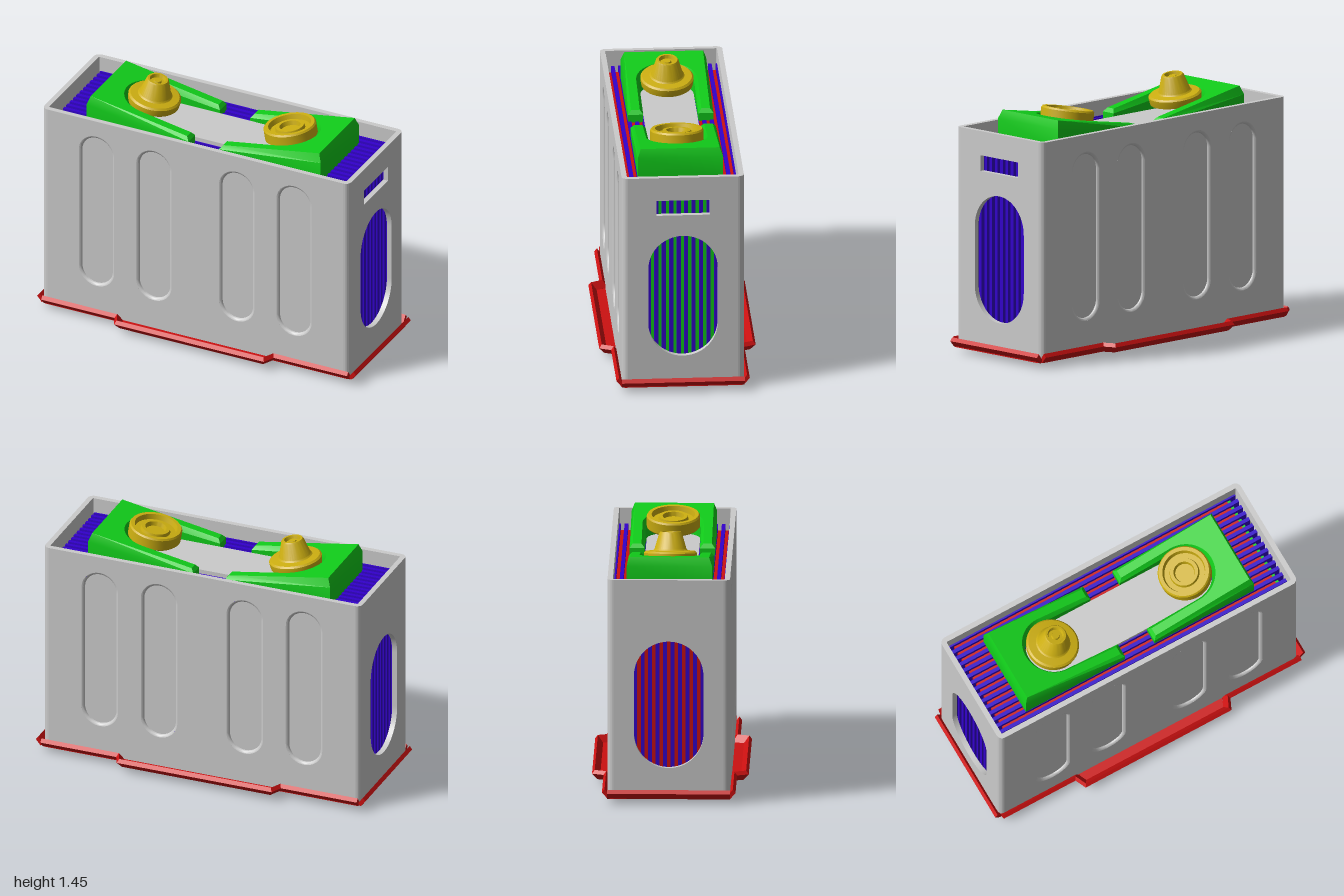
import * as THREE from 'three';
import { toCreasedNormals } from 'three/addons/utils/BufferGeometryUtils.js';

const mat = (color) => new THREE.MeshStandardMaterial({ color, side: THREE.DoubleSide });
const GREY = mat(0xcccccc), RED = mat(0xcc1111), GREEN = mat(0x11cc1a);
const BLUE = mat(0x3300cc), GOLD = mat(0xccae11);

// case half sizes, corner radius, wall thickness, bottom and top
const X = 0.963, Z = 0.344, R = 0.035, WALL = 0.03, Y0 = 0.045, Y1 = 1.288;

function add(parent, name, geo, material, x = 0, y = 0, z = 0) {
  const mesh = new THREE.Mesh(geo, material);
  mesh.name = name;
  mesh.position.set(x, y, z);
  parent.add(mesh);
  return mesh;
}

function extrude(shape, depth, options = {}) {
  const geo = new THREE.ExtrudeGeometry(shape, { depth, bevelEnabled: false, curveSegments: 20, ...options });
  return toCreasedNormals(geo, 0.5);
}

// upright capsule outline
function capsule(r, half, cx = 0, cy = 0, Type = THREE.Shape) {
  const p = new Type();
  p.moveTo(cx + r, cy - half);
  p.lineTo(cx + r, cy + half);
  p.absarc(cx, cy + half, r, 0, Math.PI);
  p.lineTo(cx - r, cy - half);
  p.absarc(cx, cy - half, r, Math.PI, 2 * Math.PI);
  return p;
}

function rect(x0, y0, x1, y1, Type = THREE.Shape) {
  return new Type([[x0, y0], [x1, y0], [x1, y1], [x0, y1]].map((p) => new THREE.Vector2(...p)));
}

// carries a profile of [inset, y] along plan points [x, z, outward nx, nz]
function sweep(path, profile, capped) {
  const pos = [], idx = [], n = profile.length;
  for (const [x, z, nx, nz] of path)
    for (const [inset, y] of profile) pos.push(x - inset * nx, y, z - inset * nz);
  for (let i = 0; i < path.length - 1; i++)
    for (let j = 0; j < (capped ? n : n - 1); j++) {
      const a = i * n + j, b = i * n + (j + 1) % n;
      idx.push(a, b, a + n, b, b + n, a + n);
    }
  if (capped)
    for (let j = 1; j < n - 1; j++) {
      const e = (path.length - 1) * n;
      idx.push(0, j + 1, j, e, e + j, e + j + 1);
    }
  const geo = new THREE.BufferGeometry();
  geo.setAttribute('position', new THREE.Float32BufferAttribute(pos, 3));
  geo.setIndex(idx);
  return toCreasedNormals(geo, 0.5);
}

// tray with flared lips, side tabs and two runners
function buildBase() {
  const base = new THREE.Group();
  base.name = 'base';
  const half = [[0.975, -0.33], [0.975, 0.33], [0.95, 0.348], [0.46, 0.348], [0.44, 0.41]];
  const outline = [...half, ...half.slice(1).reverse().map(([x, z]) => [-x, z])];
  outline.push(...half.slice(2).map(([x, z]) => [-x, -z]), ...half.slice(2).reverse().map(([x, z]) => [x, -z]));
  const floor = extrude(new THREE.Shape(outline.map((p) => new THREE.Vector2(...p))), 0.015);
  add(base, 'trayFloor', floor.rotateX(-Math.PI / 2), RED, 0, 0.03, 0);

  const lip = [[0.03, 0.03], [0, 0.065], [0.015, 0.085], [0.045, 0.045]];
  const a = 0.64;
  const side = [[-0.96, 0.375, 0, 1], [-0.5, 0.375, -a, 1], [-0.47, 0.44, -a, 1],
    [0.47, 0.44, a, 1], [0.5, 0.375, a, 1], [0.96, 0.375, 0, 1]];
  const end = [[1, 0.345, 1, 0], [1, -0.345, 1, 0]];
  for (const turn of [0, Math.PI]) {
    add(base, 'sideLip', sweep(side, lip, true), RED).rotation.y = turn;
    add(base, 'endLip', sweep(end, lip, true), RED).rotation.y = turn;
  }
  for (const s of [-1, 1]) {
    const runner = extrude(capsule(0.083, 0.63), 0.02,
      { bevelEnabled: true, bevelSize: 0.02, bevelOffset: -0.02, bevelThickness: 0.018, bevelSegments: 4 });
    runner.rotateZ(Math.PI / 2).rotateX(-Math.PI / 2);
    add(base, 'runner', runner, RED, 0, 0.018, s * 0.17);
  }
  return base;
}

// open-topped case: pressed side walls, windowed ends, round corners
function buildCase() {
  const box = new THREE.Group();
  box.name = 'case';
  const r = 0.105, half = 0.3725, cy = 0.7075, depth = 0.016;
  const path = capsule(r, half).getPoints(16).map((p) => {
    const c = Math.max(-half, Math.min(half, p.y));
    return [p.x, p.y, p.x / r, (p.y - c) / r];
  });
  path.push(path[0]);
  const dish = [[-0.006, 0], [0, -0.002], [0.005, -0.006], [0.008, -0.011], [0.009, -depth]];

  for (const turn of [0, Math.PI]) {
    const side = new THREE.Group();
    side.name = 'sideWall';
    side.rotation.y = turn;
    const panel = rect(-X + R, Y0, X - R, Y1);
    for (const x of [-0.62, -0.26, 0.26, 0.62]) {
      panel.holes.push(capsule(r + 0.006, half, x, cy, THREE.Path));
      add(side, 'recessEdge', sweep(path, dish, false).rotateX(Math.PI / 2), GREY, x, cy, Z);
      add(side, 'recessFloor', extrude(capsule(r, half), WALL - depth), GREY, x, cy, Z - WALL);
    }
    add(side, 'sidePanel', extrude(panel, WALL), GREY, 0, 0, Z - WALL);
    box.add(side);

    const wall = rect(-Z + R, Y0, Z - R, Y1);
    wall.holes.push(capsule(0.195, 0.168, 0, 0.572, THREE.Path));
    if (turn === 0) wall.holes.push(rect(-0.15, 1.06, 0.15, 1.15, THREE.Path));
    const endGeo = extrude(wall, WALL).translate(0, 0, X - WALL).rotateY(Math.PI / 2 + turn);
    add(box, 'endWall', endGeo, GREY);
  }

  const post = new THREE.Shape();
  post.absarc(0, 0, R, 0, Math.PI / 2);
  post.lineTo(0, R - WALL);
  post.absarc(0, 0, R - WALL, Math.PI / 2, 0, true);
  for (let i = 0; i < 4; i++) {
    const sx = i === 0 || i === 3 ? 1 : -1, sz = i < 2 ? -1 : 1;
    const geo = extrude(post, Y1 - Y0).rotateX(-Math.PI / 2).rotateY(i * Math.PI / 2);
    add(box, 'corner', geo, GREY, sx * (X - R), Y0, sz * (Z - R));
  }
  return box;
}

// stack of separators with plates between them
function buildStack() {
  const stack = new THREE.Group();
  stack.name = 'plateStack';
  const pitch = 0.042;
  for (let i = 0; i < 16; i++) {
    const z = (i - 7.5) * pitch;
    add(stack, 'separator', new THREE.BoxGeometry(1.85, 1.15, 0.021), BLUE, 0, 0.625, z);
    if (i === 15) break;
    add(stack, 'plate', new THREE.BoxGeometry(1.76, 1.125, 0.021), RED, -0.01, 0.6125, z + pitch / 2);
    add(stack, 'plateEdge', new THREE.BoxGeometry(0.02, 1.12, 0.021), GREEN, 0.88, 0.61, z + pitch / 2);
  }
  return stack;
}

// sloped U-shaped strap, open toward the middle
function strapGeometry() {
  const u = new THREE.Shape();
  u.moveTo(0.095, -0.24);
  u.lineTo(0.735, -0.24);
  u.lineTo(0.735, 0.24);
  u.lineTo(0.095, 0.24);
  u.lineTo(0.095, 0.155);
  u.lineTo(0.425, 0.155);
  u.absarc(0.425, 0, 0.155, Math.PI / 2, -Math.PI / 2, true);
  u.lineTo(0.095, -0.155);
  const geo = new THREE.ExtrudeGeometry(u, { depth: 0.7, bevelEnabled: true, bevelSegments: 1,
    bevelSize: 0.018, bevelOffset: -0.018, bevelThickness: 0.3, curveSegments: 24 });
  geo.rotateX(-Math.PI / 2);
  const p = geo.attributes.position;
  for (let i = 0; i < p.count; i++) {
    const t = Math.max(0, p.getY(i)), top = 1.365 - 0.17 * (0.71 - p.getX(i));
    p.setY(i, 1.195 + t * (top - 1.195));
  }
  return toCreasedNormals(geo, 0.4);
}

function lathe(points) {
  const geo = new THREE.LatheGeometry(points.map((p) => new THREE.Vector2(...p)), 40);
  return toCreasedNormals(geo, 0.5);
}

function buildTop() {
  const top = new THREE.Group();
  top.name = 'topFittings';
  const cover = extrude(capsule(0.15, 0.425), 0.035).rotateZ(Math.PI / 2).rotateX(-Math.PI / 2);
  add(top, 'centrePlate', cover, GREY, 0, 1.19, 0);

  const post = [[0, -0.03], [0.145, -0.03], [0.15, 0], [0.15, 0.012], [0.14, 0.022], [0.098, 0.026],
    [0.09, 0.034], [0.064, 0.122], [0.058, 0.13], [0.046, 0.13], [0.04, 0.11], [0.024, 0.11], [0.02, 0.122], [0, 0.122]];
  const socket = [[0, -0.03], [0.14, -0.03], [0.15, -0.02], [0.15, 0.04], [0.143, 0.05], [0.122, 0.05],
    [0.115, 0.02], [0.085, 0.02], [0.08, 0.04], [0.06, 0.04], [0.054, 0.015], [0, 0.015]];
  for (const s of [-1, 1]) {
    add(top, 'strap', strapGeometry(), GREEN).rotation.y = s < 0 ? Math.PI : 0;
    const terminal = lathe(s < 0 ? post : socket);
    add(top, s < 0 ? 'postTerminal' : 'socketTerminal', terminal, GOLD, s * 0.428, 1.317, 0).rotation.z = s * 0.17;
  }
  return top;
}

export function createModel() {
  const model = new THREE.Group();
  model.name = 'battery';
  const body = new THREE.Group();
  body.name = 'body';
  body.position.x = -0.008;
  body.add(buildCase(), buildStack(), buildTop());
  model.add(buildBase(), body);
  return model;
}
